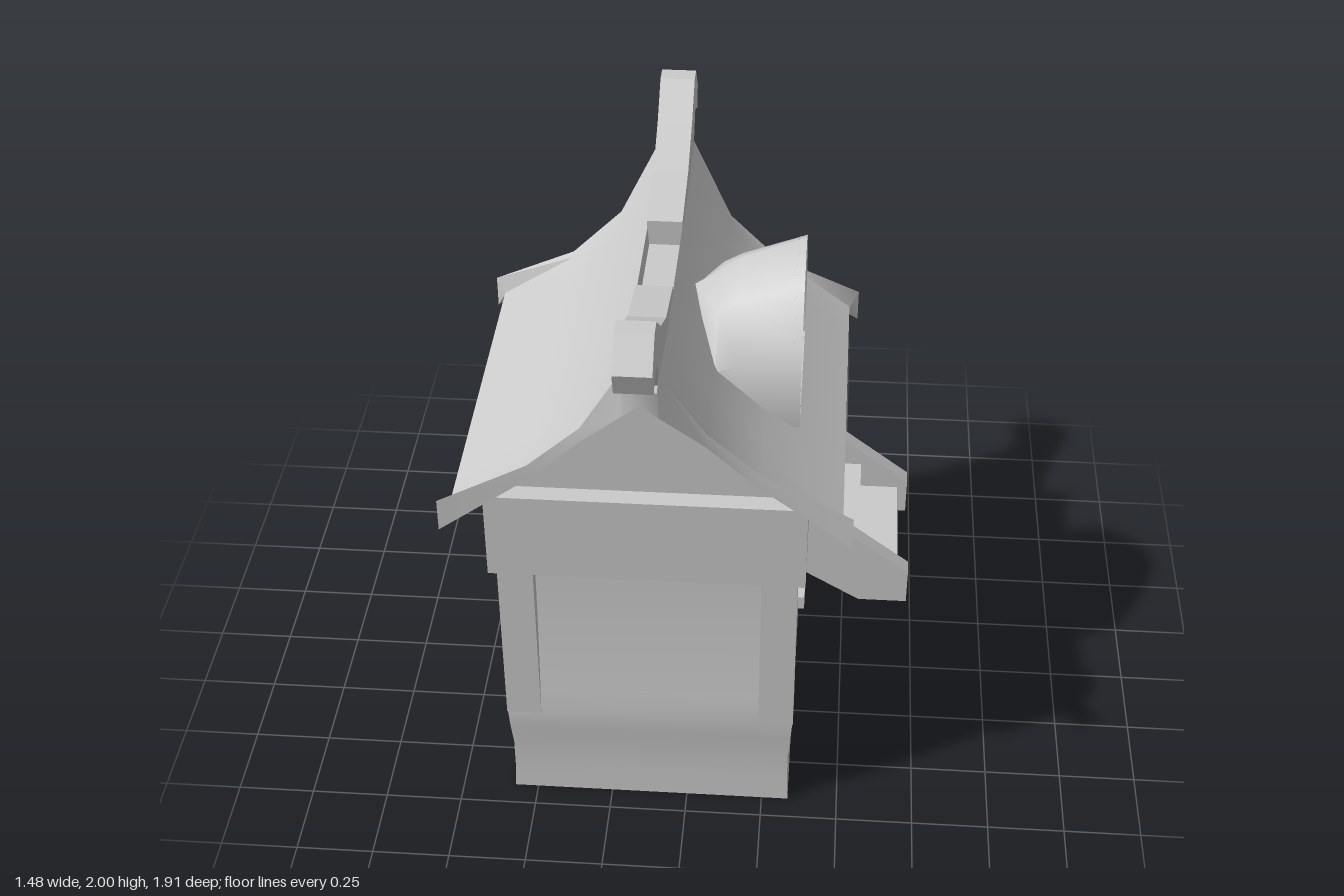
import * as THREE from 'three';
import { toCreasedNormals } from 'three/addons/utils/BufferGeometryUtils.js';

const CX = -0.12, CZ = 0.105; // centre of the house
const mat = new THREE.MeshStandardMaterial({ color: 0xcccccc });

// Skin closed rings (counter-clockwise seen from the +axis end); cap both ends if an axis is given.
function loft(rings, axis, crease = 0.6) {
  const n = rings[0].length, pos = [];
  const tri = (...p) => p.forEach(v => pos.push(...v));
  for (let i = 0; i < rings.length - 1; i++)
    for (let j = 0; j < n; j++) {
      const k = (j + 1) % n, a = rings[i][j], b = rings[i][k], c = rings[i + 1][k], d = rings[i + 1][j];
      tri(a, b, c); tri(a, c, d);
    }
  if (axis === 'x')
    for (const [ring, flip] of [[rings[0], true], [rings[rings.length - 1], false]]) {
      const faces = THREE.ShapeUtils.triangulateShape(ring.map(p => new THREE.Vector2(-p[2], p[1])), []);
      for (const [a, b, c] of faces) flip ? tri(ring[a], ring[c], ring[b]) : tri(ring[a], ring[b], ring[c]);
    }
  const g = new THREE.BufferGeometry();
  g.setAttribute('position', new THREE.Float32BufferAttribute(pos, 3));
  return toCreasedNormals(g, crease);
}

const polygon = pts => new THREE.Shape(pts.map(p => new THREE.Vector2(...p)));
const extrude = (shape, depth) => new THREE.ExtrudeGeometry(shape, { depth, bevelEnabled: false, curveSegments: 10 });

export function createModel() {
  const model = new THREE.Group();
  const add = (name, geo, parent = model) => {
    const m = new THREE.Mesh(geo, mat);
    m.name = name;
    parent.add(m);
    return m;
  };
  // Box from its minimum and maximum limits
  const box = (name, x0, x1, y0, y1, z0, z1) => {
    const m = add(name, new THREE.BoxGeometry(x1 - x0, y1 - y0, z1 - z0));
    m.position.set((x0 + x1) / 2, (y0 + y1) / 2, (z0 + z1) / 2);
  };

  // Walls: swelling foot, sunken above, open underneath
  const wallRows = [[0, 0.457], [0.1, 0.453], [0.2, 0.453], [0.28, 0.46], [0.35, 0.464], [0.45, 0.452],
    [0.55, 0.441], [0.7, 0.428], [0.85, 0.42], [0.97, 0.417]];
  const walls = add('walls', loft(wallRows.map(([y, h]) =>
    [[1, 1], [1, -1], [-1, -1], [-1, 1]].map(([sx, sz]) => [CX + sx * h, y, CZ + sz * (h + 0.108)]))));
  walls.material = new THREE.MeshStandardMaterial({ color: 0xcccccc, side: THREE.DoubleSide });

  // Corner posts, flush with the swell of the foot
  for (const sx of [-1, 1]) for (const sz of [-1, 1]) {
    const x = CX + sx * 0.41, z = CZ + sz * 0.518;
    box('cornerPost', x - 0.056, x + 0.056, 0.35, 0.97, z - 0.056, z + 0.056);
  }
  box('upperBand', -0.61, 0.37, 0.96, 1.26, -0.49, 0.7);

  // Gable fill, set back from the band
  const gable = [[0.47, 1.2], [0.47, 1.26], [0.32, 1.36], [0.17, 1.51], [0, 1.68],
    [-0.17, 1.51], [-0.32, 1.36], [-0.47, 1.26], [-0.47, 1.2]];
  add('gable', extrude(polygon(gable), 1.07)).position.set(CX, 0, CZ - 0.535);

  // Roof, swept from eave to eave: concave slopes, a trench along the ridge, flared thick ends
  const mids = [0.42, 0.19, -0.19, -0.42];
  const roofRing = (sx, i) => {
    const at = (end, ridge, z) => {
      const [x, top, bottom] = [
        [0, ridge - 0.06, ridge - 0.1], [0.05, ridge - 0.06, ridge - 0.145], [0.055, ridge, ridge - 0.15],
        [0.185, 1.545, 1.495], [0.35, end ? 1.388 : 1.38, 1.335],
        end ? [0.625, 1.255, 1.145] : [0.595, 1.21, 1.205]][i];
      return [[CX + sx * x, bottom, z], [CX + sx * x, top, z]];
    };
    const zEnd = [0.685, 0.677, 0.675, 0.61, 0.597, 0.618][i], zIn = Math.min(zEnd, 0.65) - 0.025;
    const cols = [at(true, 1.79, CZ + zEnd), at(false, 1.775, CZ + zIn), ...mids.map(z => at(false, 1.75, CZ + z)),
      at(false, 1.775, CZ - zIn), at(true, 1.79, CZ - zEnd)];
    return [...cols.map(c => c[0]), ...cols.map(c => c[1]).reverse()];
  };
  const steps = [-5, -4, -3, -2, -1, 0, 1, 2, 3, 4, 5];
  add('roof', loft(steps.map(i => roofRing(Math.sign(i), Math.abs(i))), 'x'));

  // Ridge beam: two curled ends with a gap between
  const curl = [[0.185, 1.62], [0.42, 1.65], [0.6, 1.7], [0.67, 1.79], [0.733, 1.88], [0.823, 1.835], [0.848, 1.91],
    [0.77, 2], [0.708, 2], [0.59, 1.905], [0.42, 1.82], [0.185, 1.775]];
  for (const s of [-1, 1]) {
    const m = add('ridgeEnd', extrude(polygon(curl), 0.112));
    m.rotation.y = -s * Math.PI / 2;
    m.position.set(CX + s * 0.056, 0, CZ + 0.006);
  }

  // Dormer: hood narrowing into the roof, with a slightly sunken face
  const hoodRing = (x, w, base, side, shoulder, peak) => [[-w * 0.93, base], [-w, side], [-w * 0.5, shoulder],
    [0, peak], [w * 0.5, shoulder], [w, side], [w * 0.93, base]].map(([z, y]) => [x, y, CZ + z]);
  const front = hoodRing(0.33, 0.282, 1.325, 1.61, 1.77, 1.845);
  const inset = x => front.map(([, y, z]) => [x, 1.59 + (y - 1.59) * 0.98, CZ + (z - CZ) * 0.98]);
  add('dormer', loft([hoodRing(-0.01, 0.2, 1.3, 1.45, 1.6, 1.665),
    hoodRing(0.07, 0.28, 1.3, 1.53, 1.66, 1.72), hoodRing(0.13, 0.28, 1.31, 1.55, 1.695, 1.765),
    front, inset(0.33), inset(0.305)], 'x', 1.1));

  // Arched side windows with sills
  const arch = new THREE.Shape();
  arch.moveTo(-0.135, 0.5);
  arch.lineTo(0.135, 0.5);
  arch.lineTo(0.135, 0.755);
  arch.absarc(0, 0.755, 0.135, 0, Math.PI);
  for (const s of [-1, 1]) {
    const m = add('window', toCreasedNormals(extrude(arch, 0.06), 0.6));
    m.rotation.y = s * Math.PI / 2;
    m.position.set(CX + s * 0.39, 0, CZ);
    const x = CX + s * 0.44;
    box('windowSill', x - 0.045, x + 0.045, 0.48, 0.53, CZ - 0.15, CZ + 0.15);
  }

  // Back door under a curved canopy with horns
  box('door', CX - 0.17, CX + 0.17, 0.34, 0.84, -0.47, -0.41);
  const canopy = new THREE.Shape();
  canopy.moveTo(0.21, 0.68);
  canopy.absellipse(0, 0.68, 0.21, 0.26, 0, Math.PI, false);
  canopy.lineTo(-0.18, 0.68);
  canopy.absellipse(0, 0.68, 0.18, 0.16, Math.PI, 0, true);
  add('canopy', toCreasedNormals(extrude(canopy, 0.24), 0.6)).position.set(CX, 0, -0.65);
  for (const s of [-1, 1]) {
    const curve = new THREE.CatmullRomCurve3([[0.11, 0.88], [0.17, 0.87], [0.215, 0.89], [0.232, 0.95], [0.215, 1.03]]
      .map(([x, y]) => new THREE.Vector3(CX + s * x, y, -0.575)));
    const rings = [];
    for (let i = 0; i <= 14; i++) {
      const t = i / 14, c = curve.getPoint(t), d = curve.getTangent(t);
      const r = 0.001 + 0.041 * Math.sqrt(1 - t * t) * (1 - 0.4 * t);
      rings.push(Array.from({ length: 12 }, (_, j) => {
        const a = j / 12 * Math.PI * 2, q = r * Math.cos(a);
        return [c.x - d.y * q, c.y + d.x * q, c.z + r * Math.sin(a)];
      }));
    }
    add('horn', loft(rings, null, 1));
  }

  // Deck and steps going down to the left
  box('deck', -0.59, 0.41, 0.24, 0.345, -0.89, -0.42);
  box('upperStep', 0.34, 0.555, 0.12, 0.22, -0.89, -0.415);
  box('upperRiser', 0.37, 0.41, 0.13, 0.3, -0.89, -0.415);
  box('lowerStep', 0.5, 0.7, 0, 0.115, -0.89, -0.415);
  const stringer = x => polygon([[x, 0.44 + (0.345 - x) * 0.77], [x, 0.13 + (0.345 - x) * 0.6], [0.56, 0], [0.737, 0], [0.737, 0.14]]);
  add('innerStringer', extrude(stringer(0.33), 0.062)).position.z = -0.417;
  add('outerStringer', extrude(stringer(0.29), 0.065)).position.z = -0.955;

  // Railing with posts and braced panels
  box('railPost', -0.54, -0.47, 0, 0.54, -0.955, -0.89);
  box('railPost', 0.225, 0.295, 0, 0.54, -0.955, -0.89);
  box('sideRail', -0.54, -0.47, 0.475, 0.54, -0.89, -0.42);
  const panel = polygon([[-0.47, 0.24], [0.225, 0.24], [0.225, 0.54], [-0.47, 0.54]]);
  for (const s of [-1, 1])
    for (const hole of [[[0.03, 0.36], [0.03, 0.475], [0.24, 0.475]], [[0.09, 0.345], [0.33, 0.345], [0.33, 0.465]]])
      panel.holes.push(new THREE.Path(hole.map(([t, y]) => new THREE.Vector2(-0.1225 + s * t, y))));
  add('railPanel', extrude(panel, 0.065)).position.z = -0.955;

  return model;
}
